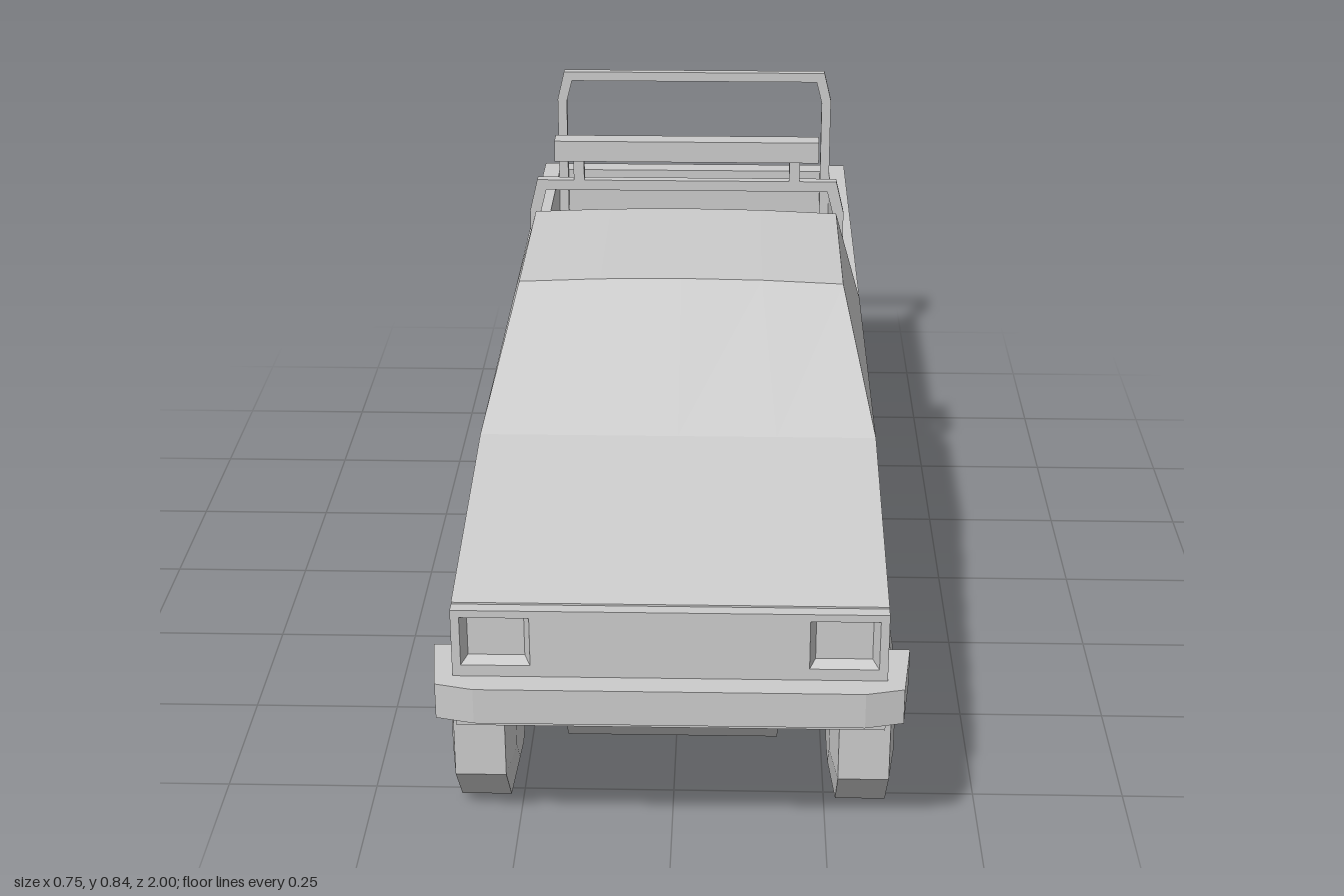
import * as THREE from 'three';

const material = new THREE.MeshStandardMaterial({ color: 0xcccccc, flatShading: true, side: THREE.DoubleSide });

const toShape = (pts) => new THREE.Shape(pts.map(([a, b]) => new THREE.Vector2(a, b)));

// Side profile given as [z, y], extruded across the full width
function sideProfile(pts, width) {
  const geo = new THREE.ExtrudeGeometry(toShape(pts), { depth: width, bevelEnabled: false });
  return geo.rotateY(-Math.PI / 2).translate(width / 2, 0, 0);
}

function moveVertices(geo, rule) {
  const pos = geo.attributes.position;
  const v = new THREE.Vector3();
  for (let i = 0; i < pos.count; i++) {
    rule(v.fromBufferAttribute(pos, i));
    pos.setXYZ(i, v.x, v.y, v.z);
  }
  geo.computeVertexNormals();
  return geo;
}

export function createModel() {
  const model = new THREE.Group();
  model.name = 'pickupTruck';

  const add = (name, geo, parent = model) => {
    const mesh = new THREE.Mesh(geo, material);
    mesh.name = name;
    parent.add(mesh);
    return mesh;
  };
  // Box from its minimum and maximum corners
  const box = (name, [x0, y0, z0], [x1, y1, z1]) =>
    add(name, new THREE.BoxGeometry(x1 - x0, y1 - y0, z1 - z0)
      .translate((x0 + x1) / 2, (y0 + y1) / 2, (z0 + z1) / 2));

  const W = 0.67, H = W / 2;

  // Upper body with hood, bed floor and the top of the front wheel arches
  add('upperBody', sideProfile([
    [0.94, 0.463], [0.48, 0.53], [-0.15, 0.53], [-0.15, 0.4], [-0.95, 0.4], [-0.95, 0.35],
    [0.577, 0.35], [0.604, 0.4], [0.866, 0.4], [0.874, 0.35], [0.94, 0.35],
  ], W));

  // Lower body between the arches, its sides leaning inward
  const tuckIn = (v) => { if (v.y < 0.3) v.x -= Math.sign(v.x) * 0.035; };
  add('frontValance', sideProfile([[0.945, 0.35], [0.945, 0.247], [0.89, 0.25], [0.874, 0.35]], W));
  add('sill', moveVertices(sideProfile(
    [[0.577, 0.35], [0.524, 0.25], [-0.34, 0.25], [-0.385, 0.35]], W), tuckIn));
  add('rearQuarter', moveVertices(sideProfile(
    [[-0.66, 0.35], [-0.69, 0.25], [-0.95, 0.25], [-0.95, 0.35]], W), tuckIn));
  box('archInnerWalls', [-0.22, 0.252, -0.94], [0.22, 0.398, 0.93]);

  // Cab: tapered box with a slightly crowned roof
  add('cab', moveVertices(new THREE.BoxGeometry(2, 1, 1, 4, 1, 1), (v) => {
    const top = v.y > 0, front = v.z > 0;
    const crown = 0.008 * (1 - v.x * v.x);
    v.x *= top ? 0.283 : H;
    v.y = top ? 0.722 + crown : 0.53;
    v.z = front ? (top ? 0.26 : 0.48) : (top ? -0.1 : -0.15);
  }));

  // Cargo bed walls
  for (const s of [-1, 1]) {
    const xs = [s * 0.3, s * H].sort((a, b) => a - b);
    box('bedSide', [xs[0], 0.4, -0.95], [xs[1], 0.53, -0.15]);
  }
  box('tailgate', [-0.3, 0.4, -0.95], [0.3, 0.53, -0.907]);

  // Front panel with square headlight recesses
  const panel = toShape([[-H, 0.285], [H, 0.285], [H, 0.46], [-H, 0.46]]);
  const lampX = 0.268, lampY = 0.406, lampW = 0.107, lampH = 0.083;
  for (const s of [-1, 1]) {
    const x0 = s * lampX - lampW / 2, x1 = s * lampX + lampW / 2;
    const y0 = lampY - lampH / 2, y1 = lampY + lampH / 2;
    panel.holes.push(toShape([[x0, y0], [x0, y1], [x1, y1], [x1, y0]]));
    add('headlightBezel', new THREE.CylinderGeometry(Math.SQRT1_2, 0.82 * Math.SQRT1_2, 1, 4, 1, true)
      .rotateY(Math.PI / 4).rotateX(Math.PI / 2)
      .scale(lampW, lampH, 0.02).translate(s * lampX, lampY, 0.95));
  }
  add('frontPanel', new THREE.ExtrudeGeometry(panel, { depth: 0.02, bevelEnabled: false }).translate(0, 0, 0.94));

  // Bumpers; the front one wraps around the corners
  add('frontBumper', new THREE.ExtrudeGeometry(toShape([
    [-0.375, 0.865], [0.375, 0.865], [0.36, 0.985], [0.3, 1], [-0.3, 1], [-0.36, 0.985],
  ]), { depth: 0.06, bevelEnabled: false }).rotateX(Math.PI / 2).translate(0, 0.345, 0));
  box('rearBumper', [-0.35, 0.28, -1], [0.35, 0.335, -0.945]);

  // Roll bars standing inside the bed
  const half = [[0.28, 0.4], [0.28, 0.695], [0.268, 0.742]];
  const outer = [[0.285, 0.762], [0.3, 0.7], [0.3, 0.4]];
  const mirror = (pts) => pts.map(([x, y]) => [-x, y]).reverse();
  const hoop = toShape([...half, ...mirror(half), ...mirror(outer), ...outer]);
  for (const z of [-0.175, -0.895]) {
    add('rollBar', new THREE.ExtrudeGeometry(hoop, { depth: 0.018, bevelEnabled: false }).translate(0, 0, z - 0.009));
  }

  // Light bar on two posts above the front roll bar
  box('lightBar', [-0.25, 0.802, -0.195], [0.25, 0.842, -0.157]);
  for (const x of [-0.205, 0.205]) box('lightBarPost', [x - 0.01, 0.76, -0.184], [x + 0.01, 0.802, -0.166]);

  // Housings under the floor, around each axle
  add('frontAxleHousing', sideProfile([[0.9, 0.255], [0.81, 0.147], [0.62, 0.147], [0.53, 0.255]], 0.34));
  add('rearAxleHousing', sideProfile([[-0.2, 0.255], [-0.29, 0.168], [-0.705, 0.168], [-0.81, 0.255]], 0.34));

  // Axles and nine-sided wheels; profile is [radius, distance from the centre line]
  const tyre = [[0, 0.255], [0.1, 0.255], [0.16, 0.268], [0.16, 0.35], [0.1, 0.36], [0.088, 0.36], [0.06, 0.342], [0, 0.342]]
    .map(([r, d]) => new THREE.Vector2(r, d));
  const hub = [[0.026, 0.34], [0.022, 0.358], [0.014, 0.358], [0.014, 0.367], [0, 0.367]]
    .map(([r, d]) => new THREE.Vector2(r, d));
  for (const [place, z] of [['front', 0.715], ['rear', -0.515]]) {
    add(place + 'Axle', new THREE.CylinderGeometry(0.022, 0.022, 0.54, 8).rotateZ(Math.PI / 2).translate(0, 0.159, z));
    for (const s of [-1, 1]) {
      const wheel = new THREE.Group();
      wheel.name = place + (s > 0 ? 'Left' : 'Right') + 'Wheel';
      wheel.position.set(0, 0.158, z);
      add('tyre', new THREE.LatheGeometry(tyre, 9, Math.PI).rotateZ(-s * Math.PI / 2), wheel);
      add('hub', new THREE.LatheGeometry(hub, 8).rotateZ(-s * Math.PI / 2), wheel);
      model.add(wheel);
    }
  }

  return model;
}
